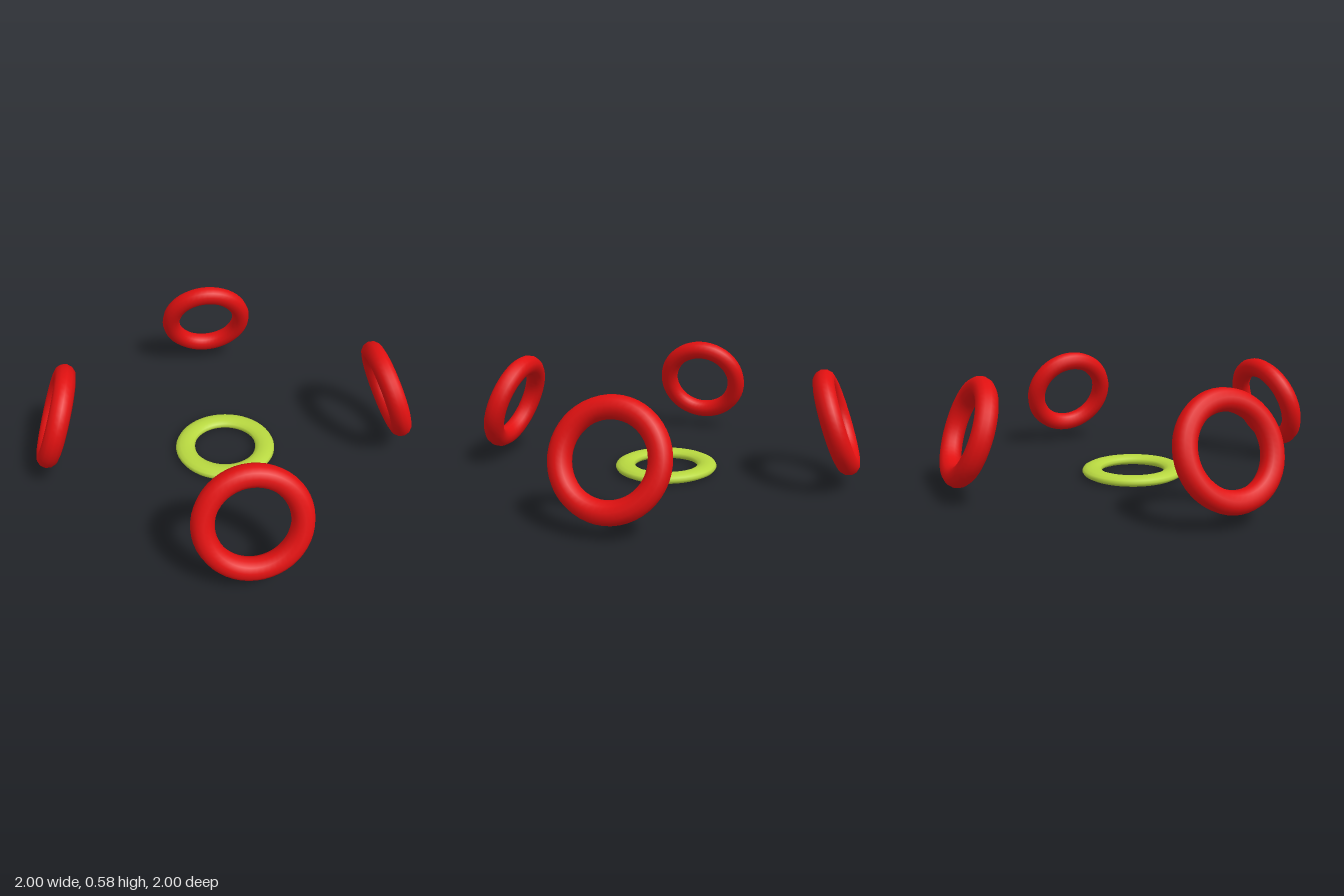
import * as THREE from 'three';

export function createModel() {
  const model = new THREE.Group();
  model.name = 'ringSet';

  const red = new THREE.MeshStandardMaterial({ color: 0xe01010 });
  red.name = 'red';
  const lime = new THREE.MeshStandardMaterial({ color: 0xb8d840 });
  lime.name = 'lime green';

  const tube = 0.0525;
  const radius = 0.2175;
  const ring = new THREE.TorusGeometry(radius, tube, 12, 48);

  // Flattened ring lying on the ground in the middle
  const flat = ring.clone().rotateX(-Math.PI / 2).scale(1, 0.5, 1);
  const centreRing = new THREE.Mesh(flat, lime);
  centreRing.name = 'centreRing';
  centreRing.position.y = tube / 2;
  model.add(centreRing);

  // Four standing rings around it, their tops leaning inward
  const lean = THREE.MathUtils.degToRad(20);
  const distance = 1 - (radius * Math.sin(lean) + tube);
  ['frontRing', 'leftRing', 'backRing', 'rightRing'].forEach((name, i) => {
    const arm = new THREE.Group();
    arm.name = name;
    arm.rotation.y = (i * Math.PI) / 2;
    const mesh = new THREE.Mesh(ring, red);
    mesh.name = name + 'Torus';
    mesh.position.set(0, 0.323, distance);
    mesh.rotation.x = -lean;
    arm.add(mesh);
    model.add(arm);
  });

  return model;
}
